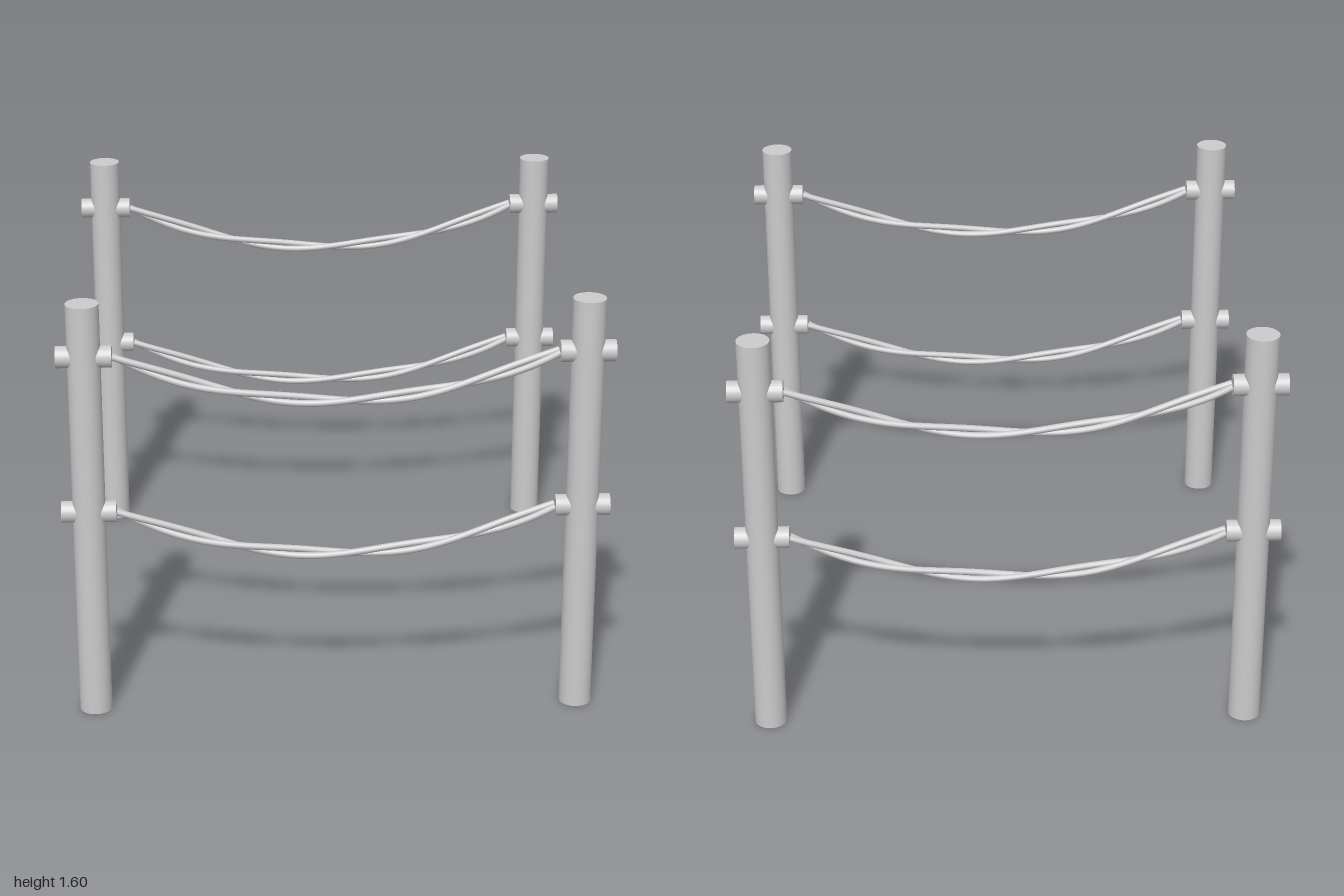
import * as THREE from 'three';

const material = new THREE.MeshStandardMaterial({ color: 0xcccccc });
const POST = 0.9, POST_R = 0.06, POST_H = 1.6;
const PEG_R = 0.04, PEG_L = 0.2;
const SPAN = 0.8, SAG = 0.18;
const STRAND_R = 0.0125, HALF_TWIST = 0.41;

// One strand of a two-ply rope, winding around a sagging parabola
class StrandCurve extends THREE.Curve {
  constructor(phase) {
    super();
    this.phase = phase;
  }
  getPoint(t, target = new THREE.Vector3()) {
    const x = (t * 2 - 1) * SPAN;
    const slope = (2 * SAG * x) / (SPAN * SPAN);
    const len = Math.hypot(1, slope);
    const a = (Math.PI * x) / HALF_TWIST + this.phase;
    const n = Math.sin(a) * STRAND_R; // offset across the rope, in its hanging plane
    return target.set(
      x - (n * slope) / len,
      SAG * ((x / SPAN) ** 2 - 1) + n / len,
      Math.cos(a) * STRAND_R
    );
  }
}

function addMesh(parent, name, geometry, x, y, z) {
  const mesh = new THREE.Mesh(geometry, material);
  mesh.name = name;
  mesh.position.set(x, y, z);
  parent.add(mesh);
  return mesh;
}

export function createModel() {
  const model = new THREE.Group();
  model.name = 'ropeFence';

  const postGeo = new THREE.CylinderGeometry(POST_R, POST_R, POST_H, 32);
  const pegGeo = new THREE.CylinderGeometry(PEG_R, PEG_R, PEG_L, 24).rotateZ(Math.PI / 2);
  const strandGeos = [0, Math.PI].map(
    (phase) => new THREE.TubeGeometry(new StrandCurve(phase), 80, STRAND_R, 10, false)
  );

  for (const [side, z] of [['front', POST], ['back', -POST]]) {
    const fence = new THREE.Group();
    fence.name = side + 'Fence';
    model.add(fence);

    // Posts
    for (const x of [-POST, POST]) addMesh(fence, 'post', postGeo, x, POST_H / 2, z);

    // Two rope rails, each held by a peg through either post
    for (const [level, y] of [['lower', 0.8], ['upper', 1.4]]) {
      for (const x of [-POST, POST]) addMesh(fence, level + 'Peg', pegGeo, x, y, z);
      const rope = new THREE.Group();
      rope.name = level + 'Rope';
      rope.position.set(0, y, z);
      for (const geo of strandGeos) addMesh(rope, 'ropeStrand', geo, 0, 0, 0);
      fence.add(rope);
    }
  }
  return model;
}
